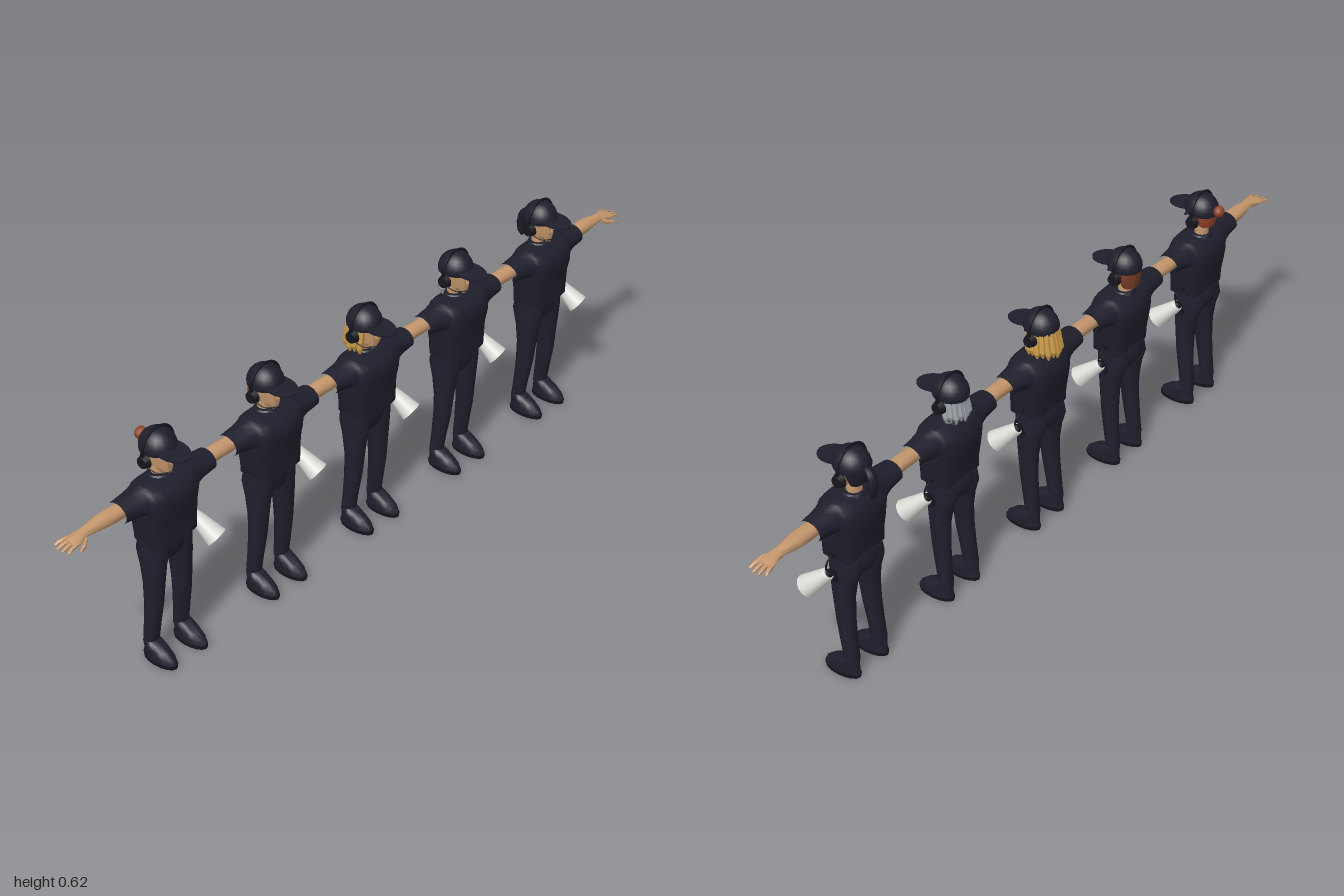
import * as THREE from 'three';
import { toCreasedNormals } from 'three/addons/utils/BufferGeometryUtils.js';

const mat = (name, color, double) => {
  const m = new THREE.MeshStandardMaterial({ color });
  m.name = name;
  if (double) m.side = THREE.DoubleSide;
  return m;
};

// Skin a list of point loops into a surface, optionally closed at both ends
function skin(loops, capped = true, crease = 0.8) {
  const n = loops[0].length, pos = loops.flat(2), idx = [];
  for (let i = 0; i < loops.length - 1; i++) for (let j = 0; j < n; j++) {
    const a = i * n + j, b = i * n + (j + 1) % n;
    idx.push(a, a + n, b, b, a + n, b + n);
  }
  if (capped) [0, loops.length - 1].forEach((r, end) => {
    const c = pos.length / 3;
    for (let k = 0; k < 3; k++) pos.push(loops[r].reduce((s, p) => s + p[k], 0) / n);
    for (let j = 0; j < n; j++) {
      const a = r * n + j, b = r * n + (j + 1) % n;
      end ? idx.push(a, c, b) : idx.push(a, b, c);
    }
  });
  const g = new THREE.BufferGeometry();
  g.setAttribute('position', new THREE.Float32BufferAttribute(pos, 3));
  g.setIndex(idx);
  return toCreasedNormals(g, crease);
}
const turn = (n, f) => Array.from({ length: n }, (_, j) => f(Math.cos(j / n * Math.PI * 2), Math.sin(j / n * Math.PI * 2)));
// Upright ellipses: [y, cx, cz, rx, rz]
const loftY = (rows, n = 16, crease) => skin(rows.map(([y, cx, cz, rx, rz]) =>
  turn(n, (c, s) => [cx + rx * c, y, cz + rz * s])), true, crease);
// Sideways ellipses: [x, cy, cz, ry, rz], mirrored when side is -1
const loftX = (rows, side, n = 12) => {
  const r = rows.map(([x, ...rest]) => [x * side, ...rest]);
  if (side < 0) r.reverse();
  return skin(r.map(([x, cy, cz, ry, rz]) => turn(n, (c, s) => [x, cy + ry * c, cz - rz * s])));
};
const tube = (pts, r, n = 6) => new THREE.TubeGeometry(
  new THREE.CatmullRomCurve3(pts.map(p => new THREE.Vector3(...p))), 10, r, n);

// Torso side profile [y, z], from the neck down the back and up the front
const TORSO = [[.503, -.008], [.502, -.03], [.492, -.045], [.47, -.057], [.445, -.06], [.41, -.055],
  [.375, -.048], [.338, -.046], [.335, 0], [.338, .042], [.375, .044], [.41, .046], [.445, .055],
  [.47, .052], [.492, .042], [.502, .02]];
// Shirt sections: [x, torso share, depth, sleeve centre y, sleeve ry, sleeve rz]
const SHIRT = [[.14, 0, 1, .467, .026, .031], [.1, 0, 1, .467, .03, .035], [.078, 0, 1, .465, .035, .04],
  [.07, .75, .75, .465, .036, .042], [.062, 1, .85, .465, .036, .042], [.04, 1, .95, .465, .036, .042]];

function shirtGeometry() {
  const rows = [...SHIRT.map(([x, ...r]) => [-x, ...r]), [0, 1, 1, .465, .036, .042], ...SHIRT.slice().reverse()];
  return skin(rows.map(([x, k, depth, cy, ry, rz]) => TORSO.map(([y, z], j) => {
    const t = j / TORSO.length * Math.PI * 2;
    return [x, (cy + ry * Math.cos(t)) * (1 - k) + y * k,
      (-.003 - rz * Math.sin(t)) * (1 - k) + z * depth * k];
  })), false);
}

export function createModel() {
  const M = {
    skin: mat('skin', 0xc4966c), cloth: mat('navy cloth', 0x1f1f2d), black: mat('black', 0x15151d),
    white: mat('megaphone white', 0xdadcd6, true), red: mat('red hair', 0x8f4028),
    auburn: mat('auburn hair', 0x7a3c26), blonde: mat('blonde hair', 0xc89a48),
    grey: mat('grey hair', 0x9a9ea4), dark: mat('dark hair', 0x1b1b25),
  };

  function person(style) {
    const g = new THREE.Group();
    const add = (name, geo, m, x = 0, y = 0, z = 0) => {
      const mesh = new THREE.Mesh(geo, m);
      mesh.name = name;
      mesh.position.set(x, y, z);
      g.add(mesh);
      return mesh;
    };

    // Clothes
    add('shirt', shirtGeometry(), M.cloth);
    add('collar', loftY([[.495, 0, -.01, .036, .032], [.506, 0, -.012, .027, .026]]), M.cloth);
    add('hips', loftY([[.285, 0, -.008, .03, .03], [.3, 0, -.009, .054, .041], [.328, 0, -.01, .068, .046],
      [.35, 0, -.004, .066, .043]]), M.cloth);

    for (const s of [-1, 1]) {
      add('leg', loftY([[.045, .048, -.021, .02, .018], [.1, .047, -.014, .021, .02], [.16, .045, -.007, .022, .024],
        [.22, .043, -.004, .025, .027], [.27, .041, -.005, .028, .034], [.31, .036, -.009, .033, .044],
        [.34, .034, -.006, .033, .042]].map(([y, x, ...r]) => [y, x * s, ...r])), M.cloth);
      add('shoe', loftY([[.01, .049, .008, .023, .051], [.022, .049, .007, .023, .047], [.036, .049, -.002, .022, .038],
        [.047, .049, -.014, .021, .026], [.054, .049, -.02, .019, .018]].map(([y, x, ...r]) => [y, x * s, ...r])), M.cloth);
      add('sole', loftY([[0, s * .049, .008, .023, .051], [.01, s * .049, .008, .024, .052]]), M.black);

      // Arm, hand and fingers
      add('arm', loftX([[.1, .47, -.003, .018, .02], [.16, .47, -.003, .019, .021], [.19, .472, -.003, .017, .02],
        [.235, .472, -.002, .011, .014], [.25, .47, -.001, .011, .016], [.27, .468, -.001, .01, .021],
        [.285, .467, -.002, .007, .02]], s), M.skin);
      for (let i = 0; i < 4; i++) {
        const z = -.018 + i * .011, tip = [.303, .311, .311, .306][i];
        add('finger', loftX([[.275, .468, z, .006, .006], [.295, .466, z * 1.25, .005, .005],
          [tip, .461, z * 1.4, .003, .003]], s, 6), M.skin);
      }
      add('thumb', loftX([[.245, .467, .01, .007, .007], [.262, .461, .024, .006, .006],
        [.28, .457, .031, .003, .003]], s, 6), M.skin);

      // Ear cup
      const cup = add('earCup', new THREE.CylinderGeometry(.014, .018, .014, 16), M.black, s * .046, .551, -.01);
      cup.rotation.z = -s * Math.PI / 2;
    }

    // Head
    add('neck', loftY([[.49, 0, -.014, .02, .019], [.54, 0, -.012, .018, .019]], 10), M.skin);
    add('head', loftY([[.514, 0, .013, .011, .012], [.53, 0, .001, .024, .027], [.55, 0, -.006, .03, .034],
      [.585, 0, -.008, .034, .037]], 10, .3), M.skin);
    add('nose', new THREE.ConeGeometry(.006, .02, 4), M.skin, 0, .552, .028);

    // Cap and brim
    const cap = add('cap', new THREE.SphereGeometry(1, 20, 8, 0, Math.PI * 2, 0, Math.PI / 2), M.cloth, 0, .574, -.01);
    cap.scale.set(.043, .045, .046);
    add('capBand', loftY([[.566, 0, -.011, .041, .044], [.575, 0, -.01, .043, .046]], 20), M.cloth);
    const brim = add('brim', new THREE.CylinderGeometry(1, 1, 1, 20), M.cloth, 0, .5775, .035);
    brim.scale.set(.036, .004, .048);
    brim.rotation.x = .1;

    // Headset band and microphone
    add('headband', new THREE.TorusGeometry(.048, .0035, 6, 20, Math.PI), M.black, 0, .573, -.01);
    for (const s of [-1, 1]) add('bandEnd', new THREE.BoxGeometry(.006, .024, .007), M.black, s * .048, .564, -.01);
    add('microphoneBoom', tube([[-.046, .543, -.005], [-.04, .534, .025], [-.012, .532, .045]], .0016), M.black);
    add('microphone', new THREE.SphereGeometry(.004, 8, 6), M.black, -.012, .532, .046);

    // Hair: a shell behind the head, with pointed locks around it
    const shell = (m, bottom, rx) => add('hair', loftY([[bottom, 0, -.03, rx * .8, .018],
      [bottom + .02, 0, -.028, rx, .024], [.575, 0, -.024, rx, .029]], 10, .3), m);
    const locks = (m, count, arc, bottom, rx, rz) => {
      for (let i = 0; i < count; i++) {
        const a = (i / (count - 1) * 2 - 1) * arc, low = bottom + (i % 2) * .006;
        const x = Math.sin(a) * rx, z = -.014 - Math.cos(a) * rz;
        add('hairLock', loftY([[low, x * 1.02, z - .004, .002, .002], [low + .018, x * 1.06, z - .004, .009, .009],
          [.572, x * .9, z * .88, .009, .009]], 6, .3), m);
      }
    };
    if (style === 'bun') {
      shell(M.red, .535, .034);
      const bun = add('hairBun', new THREE.IcosahedronGeometry(.016, 1), M.red, 0, .582, -.063);
      bun.scale.z = .9;
    } else if (style === 'short') {
      shell(M.auburn, .522, .034);
    } else if (style === 'bob') {
      shell(M.blonde, .515, .035);
      locks(M.blonde, 13, 2.1, .499, .035, .041);
    } else if (style === 'long') {
      shell(M.grey, .52, .033);
      locks(M.grey, 9, 1.4, .506, .033, .033);
    } else {
      shell(M.dark, .535, .035);
      add('ponytail', loftY([[.502, 0, -.066, .006, .005], [.515, 0, -.069, .012, .01], [.54, 0, -.071, .014, .011],
        [.56, 0, -.067, .012, .012], [.575, 0, -.058, .01, .012], [.582, 0, -.053, .006, .008]], 10), M.dark);
    }

    // Megaphone hanging at the left hip
    const horn = new THREE.Group();
    horn.name = 'megaphone';
    const small = new THREE.Vector3(.1, .326, -.01), wide = new THREE.Vector3(.117, .278, .041);
    const axis = wide.clone().sub(small);
    horn.position.copy(small);
    horn.quaternion.setFromUnitVectors(new THREE.Vector3(0, 1, 0), axis.clone().normalize());
    const L = axis.length();
    const part = (name, geo, m, y) => {
      const p = new THREE.Mesh(geo, m);
      p.name = name;
      p.position.y = y;
      horn.add(p);
    };
    part('bell', new THREE.CylinderGeometry(.028, .016, L, 16, 1, true), M.white, L / 2);
    part('backPlate', new THREE.CylinderGeometry(.016, .014, .006, 16), M.white, -.002);
    part('mouthpiece', new THREE.CylinderGeometry(.011, .009, .008, 12), M.black, -.008);
    g.add(horn);
    add('megaphoneHandle', tube([[.085, .325, -.008], [.08, .305, -.012], [.078, .292, -.014]], .006), M.black);
    add('megaphoneStrap', tube([[.064, .35, -.01], [.07, .364, -.012], [.096, .364, -.012], [.102, .352, -.01],
      [.1, .33, -.006]], .0025), M.black);
    return g;
  }

  // Row of five people, each with their own hair
  const model = new THREE.Group();
  model.name = 'crewRow';
  ['bun', 'short', 'bob', 'long', 'ponytail'].forEach((style, i) => {
    const p = person(style);
    p.name = `crewMember ${style}`;
    p.position.x = (i - 2) * .3445;
    model.add(p);
  });
  return model;
}
